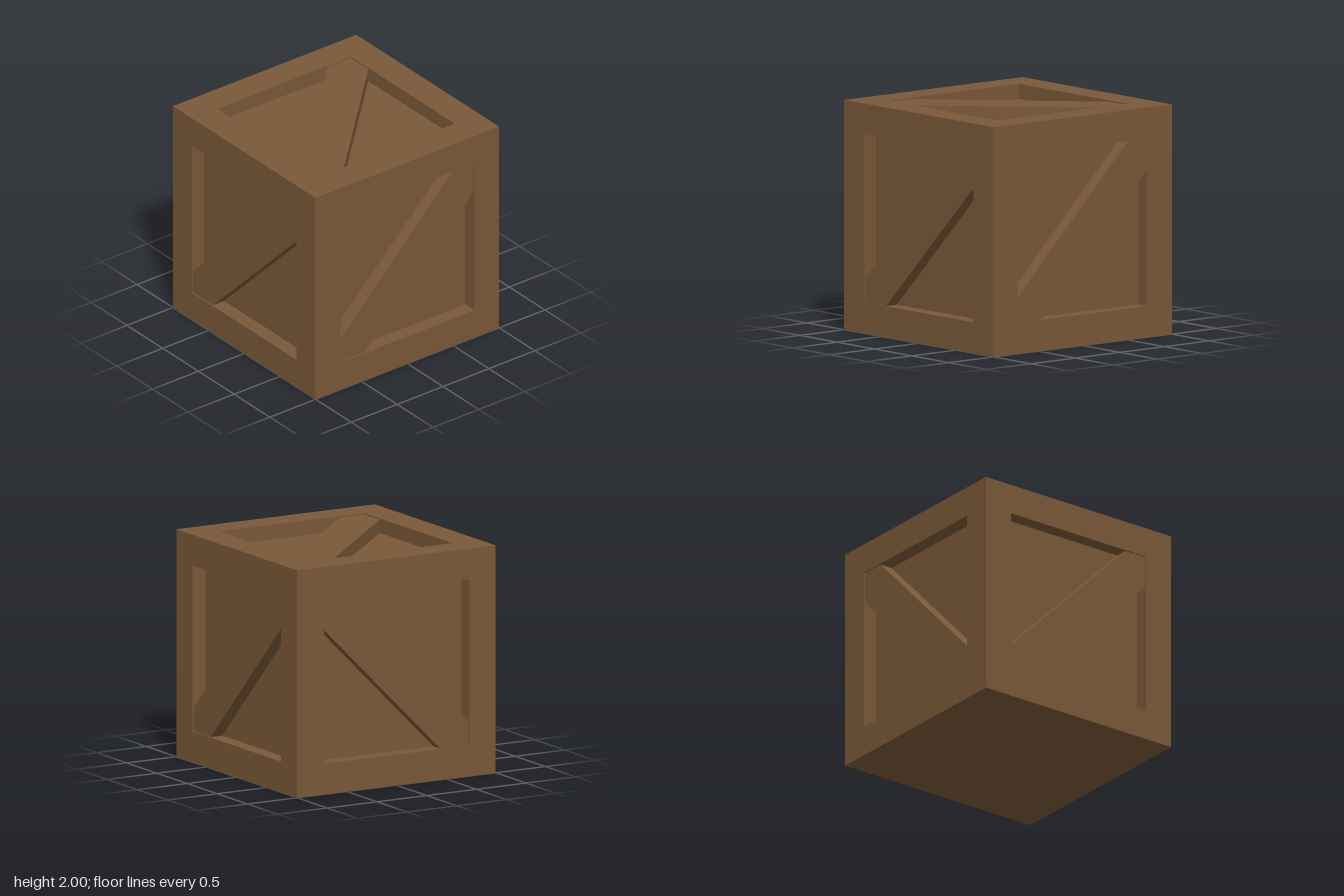
import * as THREE from 'three';

const HOLE = 0.73;    // half width of the recess
const PANEL = 0.87;   // distance of the recessed panel from the crate centre
const BRACE = 0.988;  // distance of the brace face from the crate centre

// Frame border, recess walls and panel: a four-sided stepped profile facing +z
function makeFrame() {
  const profile = [[1, 1], [HOLE, 1], [HOLE, PANEL], [0, PANEL]]
    .map(([r, h]) => new THREE.Vector2(r * Math.SQRT2, h));
  const geometry = new THREE.LatheGeometry(profile, 4, Math.PI / 4).toNonIndexed();
  geometry.rotateX(Math.PI / 2);
  geometry.computeVertexNormals();
  return geometry;
}

// Diagonal plank cut to the recess; above and below are its offsets from the diagonal
function makeBrace(above, below, mirror) {
  const h = HOLE;
  const shape = new THREE.Shape([
    [-h, -h], [below - h, -h], [h, h - below],
    [h, h], [h - above, h], [-h, above - h],
  ].map(([x, y]) => new THREE.Vector2(x * mirror, y)));
  const geometry = new THREE.ExtrudeGeometry(shape, { depth: BRACE - PANEL, bevelEnabled: false });
  return geometry.translate(0, 0, PANEL);
}

export function createModel() {
  const wood = new THREE.MeshStandardMaterial({ color: 0x7a5838 });
  wood.name = 'brown wood';

  const crate = new THREE.Group();
  crate.name = 'crate';
  const frame = makeFrame();

  // Four walls and the lid share the frame; the brace direction varies
  const sides = [
    { name: 'front', ry: 0, above: 0.21, below: 0.28, mirror: 1 },
    { name: 'left', ry: Math.PI / 2, above: 0.22, below: 0.28, mirror: 1 },
    { name: 'back', ry: Math.PI, above: 0.21, below: 0.28, mirror: 1 },
    { name: 'right', ry: -Math.PI / 2, above: 0.22, below: 0.28, mirror: -1 },
    { name: 'top', rx: -Math.PI / 2, above: 0.245, below: 0.25, mirror: -1 },
  ];
  for (const { name, rx = 0, ry = 0, above, below, mirror } of sides) {
    const side = new THREE.Group();
    side.name = name + 'Side';
    const border = new THREE.Mesh(frame, wood);
    border.name = name + 'Frame';
    const brace = new THREE.Mesh(makeBrace(above, below, mirror), wood);
    brace.name = name + 'Brace';
    side.add(border, brace);
    side.rotation.set(rx, ry, 0);
    side.position.y = 1;
    crate.add(side);
  }

  // Plain underside
  const base = new THREE.Mesh(new THREE.PlaneGeometry(2, 2).rotateX(Math.PI / 2), wood);
  base.name = 'base';
  crate.add(base);

  return crate;
}
